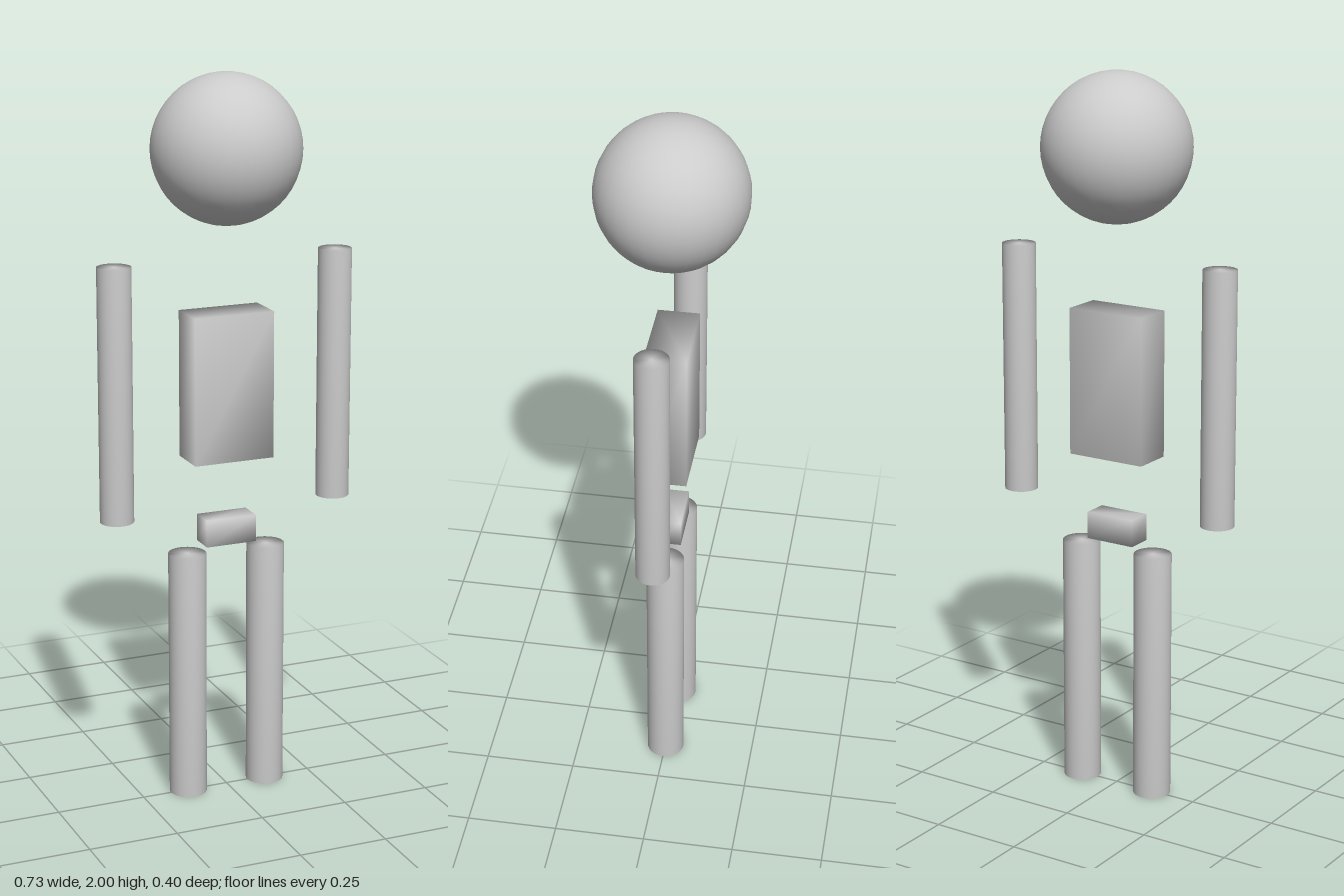
import * as THREE from 'three';
import { mergeVertices } from 'three/addons/utils/BufferGeometryUtils.js';

export function createModel() {
  const group = new THREE.Group();
  const material = new THREE.MeshStandardMaterial({ color: 0xcccccc });

  // Weld the corners so that shading runs smoothly over every edge
  function soften(geometry) {
    geometry.deleteAttribute('normal');
    geometry.deleteAttribute('uv');
    const welded = mergeVertices(geometry, 1e-4);
    welded.computeVertexNormals();
    return welded;
  }

  function add(name, geometry, x, y) {
    const mesh = new THREE.Mesh(geometry, material);
    mesh.name = name;
    mesh.position.set(x, y, 0);
    group.add(mesh);
  }

  // Head, torso and hips, floating on the centre line
  add('head', new THREE.SphereGeometry(0.201, 32, 24), 0, 1.799);
  add('torso', soften(new THREE.BoxGeometry(0.228, 0.405, 0.114)), 0, 1.163);
  add('hips', soften(new THREE.BoxGeometry(0.145, 0.075, 0.072)), 0, 0.758);

  // Arms and legs, mirrored
  const arm = soften(new THREE.CylinderGeometry(0.046, 0.046, 0.695, 32));
  const leg = soften(new THREE.CylinderGeometry(0.052, 0.052, 0.7, 32));
  for (const [side, sign] of [['left', 1], ['right', -1]]) {
    add(side + 'Arm', arm, sign * 0.318, 1.163);
    add(side + 'Leg', leg, sign * 0.116, 0.35);
  }
  return group;
}
